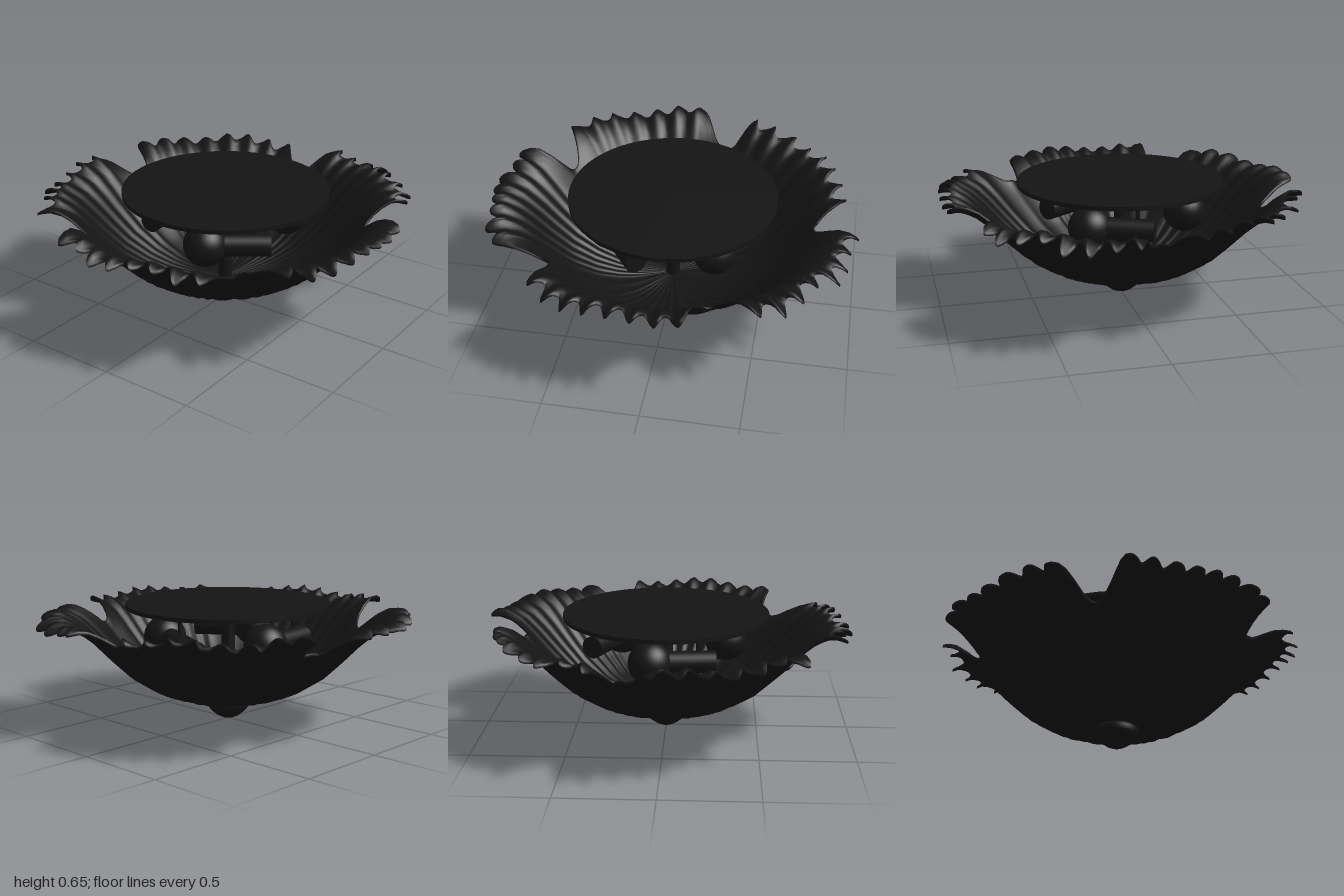
import * as THREE from 'three';

const rad = THREE.MathUtils.degToRad;

// Five ragged leaves: gap before the leaf, angles of first and last tooth, tooth radii
const leaves = [
  { gap: -1, from: 8.6, to: 55.8, teeth: [1, 0.99, 1.02, 1.04, 0.99, 1.01, 1.02, 0.98] },
  { gap: 67, from: 78.6, to: 126.5, teeth: [0.97, 0.97, 0.97, 0.98, 0.99, 1, 1, 0.98] },
  { gap: 138, from: 151, to: 199, teeth: [0.98, 1, 0.97, 0.97, 0.99, 1, 0.97, 1] },
  { gap: 211, from: 223.6, to: 271.2, teeth: [1, 0.97, 0.99, 0.98, 0.97, 0.99, 0.98] },
  { gap: 284, from: 291, to: 348.2, teeth: [0.97, 0.95, 0.98, 0.96, 0.97, 0.95, 0.94, 0.93] },
];

// Edge of the bowl: a shallow gap, then teeth with a notch between neighbours
function edgeCurve() {
  const points = [];
  const polar = (degrees, r) => points.push(new THREE.Vector3(r * Math.cos(rad(degrees)), 0, r * Math.sin(rad(degrees))));
  for (const { gap, from, to, teeth } of leaves) {
    polar(gap - 3, 0.775);
    polar(gap + 3, 0.765);
    const step = (to - from) / (teeth.length - 1);
    teeth.forEach((r, k) => {
      if (k > 0) polar(from + step * (k - 0.5), Math.min(r, teeth[k - 1]) - 0.065);
      polar(from + step * k, r);
    });
  }
  return new THREE.CatmullRomCurve3(points, true, 'centripetal');
}

// Bowl wall as [radius, height]: round bottom, flared and curled lip
const wall = [[0, 0.105], [0.2, 0.12], [0.3, 0.142], [0.42, 0.19], [0.55, 0.275], [0.65, 0.37],
  [0.75, 0.475], [0.82, 0.54], [0.9, 0.585], [0.96, 0.585], [1.05, 0.54]];
function wallHeight(r) {
  const k = Math.max(1, wall.findIndex(([radius]) => radius >= r));
  const [r0, y0] = wall[k - 1], [r1, y1] = wall[k];
  return y0 + (y1 - y0) * (r - r0) / (r1 - r0);
}

function bowlGeometry() {
  const edge = edgeCurve();
  const perPoint = 6, n = edge.points.length * perPoint, rows = 24, body = 0.7;
  const positions = [], index = [];
  const addRow = (t, lift) => {
    for (let i = 0; i < n; i++) {
      const rim = edge.getPoint(i / n);
      const angle = Math.atan2(rim.z, rim.x);
      const s = Math.max(0, (t - body) / (1 - body));
      const r = THREE.MathUtils.lerp(Math.min(t, body), rim.length(), s);
      // fine ribs on the wall, broad waves on the lip
      const rib = Math.sin(Math.PI * i / perPoint) * (0.005 * Math.min(1, r / 0.5) + 0.01 * s * s);
      const wave = 0.014 * s * Math.sin(11 * angle + 1);
      positions.push(r * Math.cos(angle), wallHeight(r) + rib + wave + lift, r * Math.sin(angle));
    }
  };
  for (let j = 0; j <= rows; j++) addRow(0.02 + 0.98 * j / rows, 0);       // outside
  for (let j = rows; j >= 0; j--) addRow(0.02 + 0.98 * j / rows, 0.014);   // inside

  for (let j = 0; j <= 2 * rows; j++) {
    for (let i = 0; i < n; i++) {
      const a = j * n + i, b = j * n + (i + 1) % n;
      index.push(a, b + n, b, a, a + n, b + n);
    }
  }
  const geometry = new THREE.BufferGeometry();
  geometry.setAttribute('position', new THREE.Float32BufferAttribute(positions, 3));
  geometry.setIndex(index);
  geometry.computeVertexNormals();
  return geometry;
}

export function createModel() {
  const model = new THREE.Group();
  model.name = 'ceilingLamp';
  const black = new THREE.MeshStandardMaterial({ color: 0x141414 });
  const add = (name, geometry, parent = model) => {
    const mesh = new THREE.Mesh(geometry, black);
    mesh.name = name;
    parent.add(mesh);
    return mesh;
  };

  // Leafy bowl
  add('leafBowl', bowlGeometry());

  // Knob under the bowl
  const knob = [[0, 0], [0.03, 0.006], [0.06, 0.02], [0.09, 0.043], [0.112, 0.07], [0.12, 0.095], [0.112, 0.115], [0, 0.125]];
  add('bottomKnob', new THREE.LatheGeometry(knob.map(([x, y]) => new THREE.Vector2(x, y)), 48));

  // Ceiling plate and central stem
  add('ceilingPlate', new THREE.CylinderGeometry(0.556, 0.556, 0.022, 96)).position.set(0, 0.639, 0.003);
  add('centralStem', new THREE.CylinderGeometry(0.037, 0.037, 0.53, 32)).position.y = 0.37;

  // Three lamp holders, each with rod, socket and bulb
  for (let k = 0; k < 3; k++) {
    const holder = new THREE.Group();
    holder.name = 'lampHolder' + (k + 1);
    holder.rotation.y = -k * Math.PI * 2 / 3;
    model.add(holder);
    add('holderRod', new THREE.CylinderGeometry(0.011, 0.011, 0.17, 16), holder).position.set(0.36, 0.55, 0);

    const lamp = new THREE.Group();
    lamp.name = 'lamp';
    lamp.position.set(0.36, 0.465, 0);
    lamp.rotation.y = -0.42;
    holder.add(lamp);
    add('socket', new THREE.CylinderGeometry(0.06, 0.06, 0.24, 32).rotateX(Math.PI / 2), lamp).position.z = 0.03;
    add('bulb', new THREE.SphereGeometry(0.115, 32, 20), lamp).position.z = 0.25;
  }
  return model;
}
